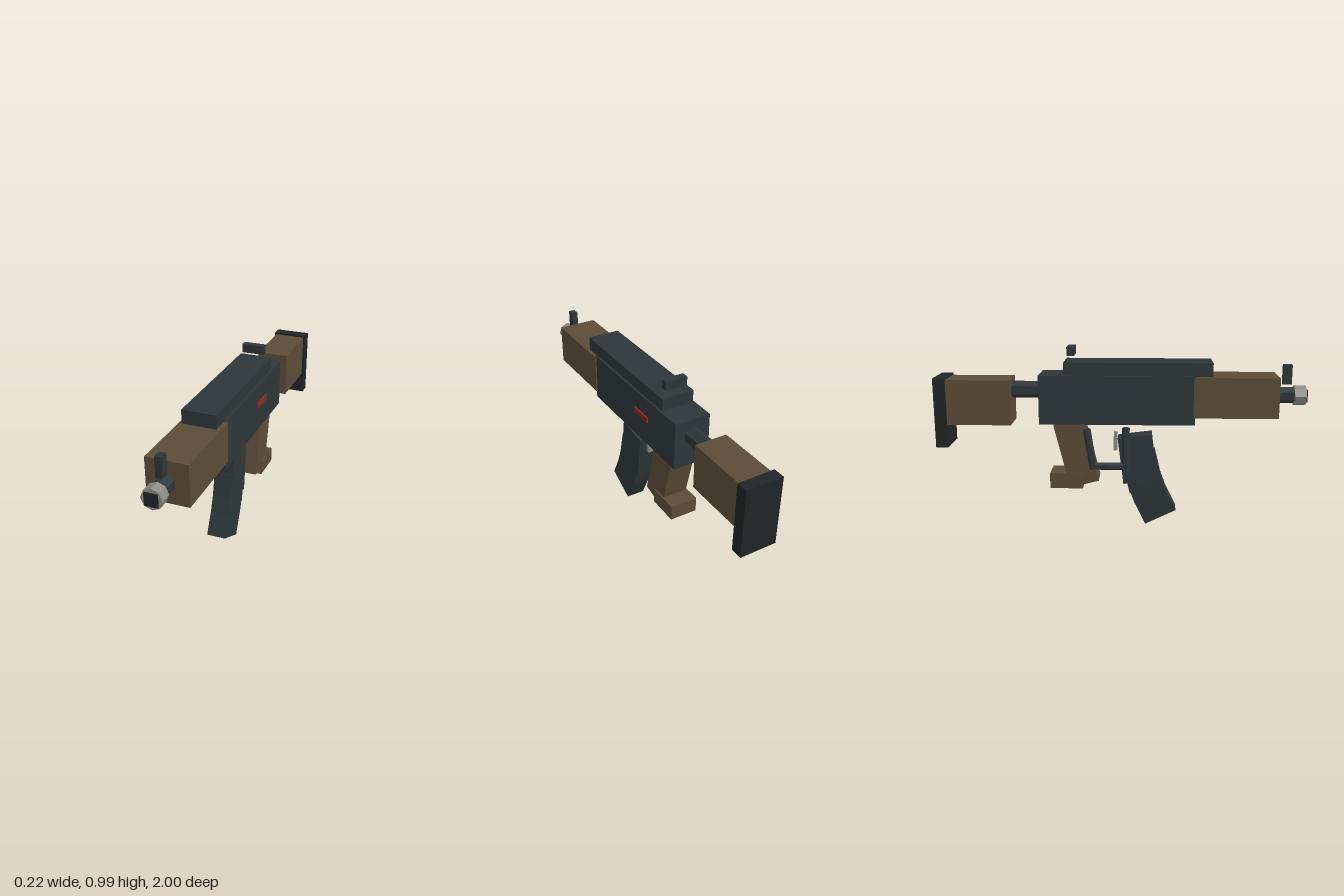
import * as THREE from 'three';

const material = (color) => new THREE.MeshStandardMaterial({ color, flatShading: true });
const steel = material(0x2e3639);
const black = material(0x202527);
const wood = material(0x5c4c38);
const metal = material(0x8c8c86);
const red = material(0x8c2a24);

export function createModel() {
  const model = new THREE.Group();
  model.name = 'model';

  const add = (name, geometry, mat) => {
    const mesh = new THREE.Mesh(geometry, mat);
    mesh.name = name;
    model.add(mesh);
    return mesh;
  };

  // Box from its x, y and z limits
  const block = (name, mat, [x0, x1], [y0, y1], [z0, z1]) => {
    const mesh = add(name, new THREE.BoxGeometry(x1 - x0, y1 - y0, z1 - z0), mat);
    mesh.position.set((x0 + x1) / 2, (y0 + y1) / 2, (z0 + z1) / 2);
    return mesh;
  };

  // Box hung from its top front edge, swinging forward by a tilt in degrees
  const slanted = (name, mat, width, length, depth, y, z, tilt) => {
    const geometry = new THREE.BoxGeometry(width, length, depth);
    geometry.translate(0, -length / 2, -depth / 2);
    const mesh = add(name, geometry, mat);
    mesh.position.set(0, y, z);
    mesh.rotation.x = -THREE.MathUtils.degToRad(tilt);
    return mesh;
  };

  // Faceted rod along z
  const rod = (name, mat, radius, sides, y, z0, z1) => {
    const geometry = new THREE.CylinderGeometry(radius, radius, z1 - z0, sides);
    geometry.rotateX(Math.PI / 2);
    // keep a corner at the top
    const mesh = add(name, geometry, mat);
    mesh.position.set(0, y, (z0 + z1) / 2);
    return mesh;
  };

  // Body
  block('receiver', steel, [-0.1, 0.1], [0.58, 0.843], [-0.435, 0.4]);
  block('topCover', steel, [-0.09, 0.09], [0.84, 0.913], [-0.3, 0.49]);
  block('handguard', wood, [-0.108, 0.108], [0.621, 0.838], [0.39, 0.84]);
  block('sidePort', red, [0.09, 0.107], [0.714, 0.746], [-0.18, -0.048]);

  // Barrel and muzzle
  rod('barrel', steel, 0.044, 6, 0.73, 0.8, 0.95);
  rod('muzzle', metal, 0.054, 8, 0.73, 0.93, 0.992);
  block('bore', black, [-0.033, 0.033], [0.697, 0.763], [0.94, 1]);

  // Sights
  block('frontSight', steel, [-0.017, 0.017], [0.79, 0.896], [0.868, 0.915]);
  block('rearSight', steel, [-0.061, 0.061], [0.943, 0.99], [-0.285, -0.246]);

  // Stock
  rod('stockTube', steel, 0.046, 6, 0.753, -0.61, -0.42);
  block('stock', wood, [-0.088, 0.088], [0.57, 0.815], [-0.945, -0.59]);
  block('buttPlate', black, [-0.1, 0.1], [0.446, 0.825], [-1, -0.936]);

  // Grip
  slanted('grip', wood, 0.14, 0.36, 0.162, 0.606, -0.205, 14);
  block('gripFoot', wood, [-0.077, 0.077], [0.214, 0.298], [-0.385, -0.205]);

  // Curved magazine: length, top front y and z, tilt
  [
    [0.26, 0.515, 0.171, 7],
    [0.2, 0.417, 0.189, 13],
    [0.14, 0.314, 0.209, 20],
    [0.128, 0.2, 0.251, 26],
  ].forEach(([length, y, z, tilt], i) =>
    slanted('magazineSegment' + (i + 1), steel, 0.104, length, 0.187, y, z, tilt));

  // Trigger
  slanted('trigger', metal, 0.03, 0.105, 0.02, 0.52, -0.017, -1);

  // Trigger guard: three faceted rods joined in a U
  const corners = [[0.56, 0.031], [0.322, 0.031], [0.345, 0.031], [0.345, -0.145], [0.33, -0.145], [0.552, -0.18]]
    .map(([y, z]) => new THREE.Vector3(-0.082, y, z));
  ['guardFront', 'guardBottom', 'guardRear'].forEach((name, i) => {
    const a = corners[i * 2], b = corners[i * 2 + 1];
    const direction = b.clone().sub(a);
    const mesh = add(name, new THREE.CylinderGeometry(0.021, 0.021, direction.length(), 6), steel);
    mesh.position.copy(a).add(b).multiplyScalar(0.5);
    mesh.quaternion.setFromUnitVectors(new THREE.Vector3(0, 1, 0), direction.normalize());
  });

  return model;
}
